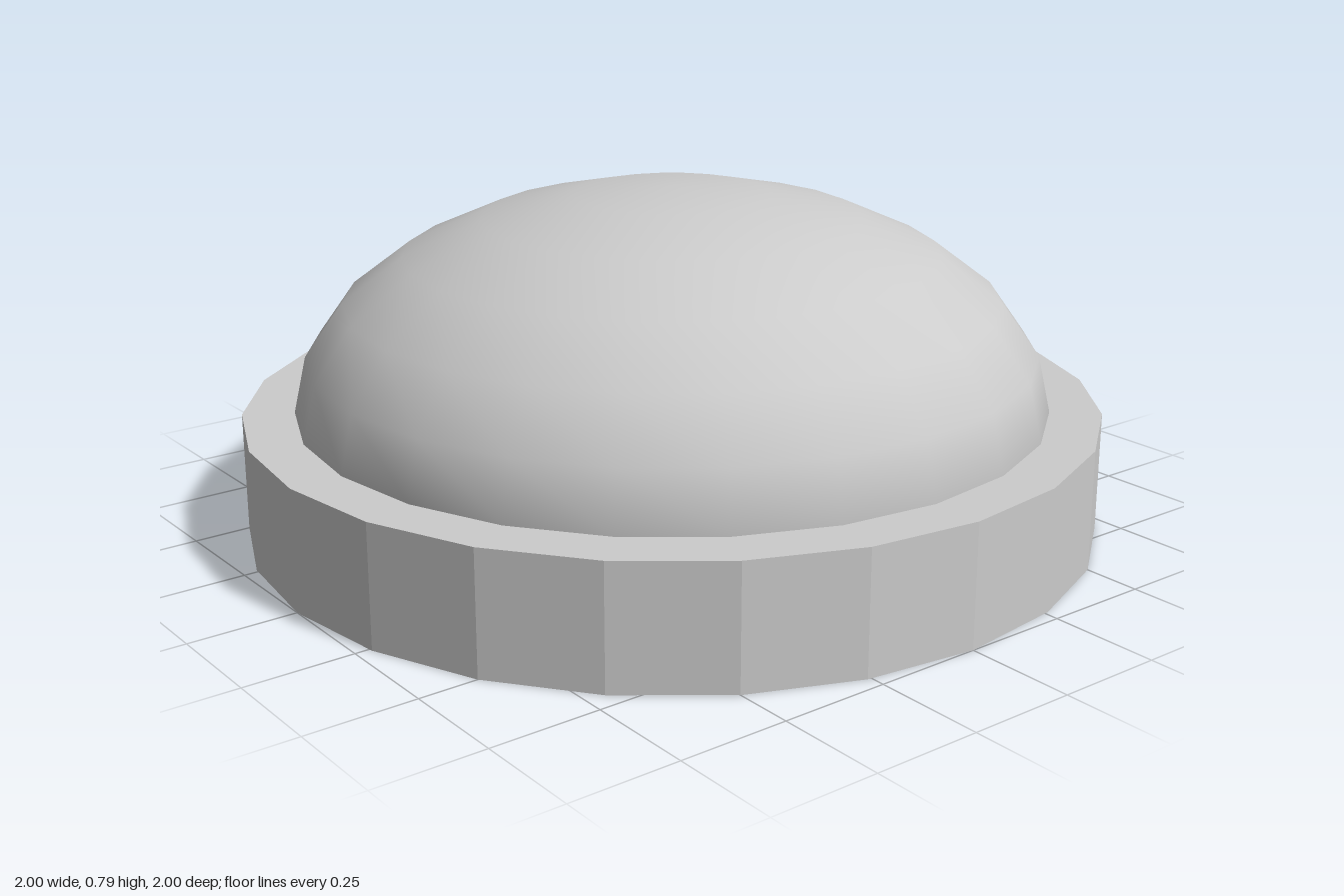
import * as THREE from 'three';

const SIDES = 24;
const RIM_HEIGHT = 0.28;
const DOME_RADIUS = 0.88;
const DOME_RISE = 0.51;

export function createModel() {
  const group = new THREE.Group();
  group.name = 'domeOnRing';

  // Hollow rim: bottom lip, outer wall and top lip, open on the inside
  const profile = [
    new THREE.Vector2(DOME_RADIUS, 0),
    new THREE.Vector2(1, 0),
    new THREE.Vector2(1, RIM_HEIGHT),
    new THREE.Vector2(DOME_RADIUS, RIM_HEIGHT),
  ];
  const rim = new THREE.Mesh(
    new THREE.LatheGeometry(profile, SIDES),
    new THREE.MeshStandardMaterial({ color: 0xcccccc, flatShading: true, side: THREE.DoubleSide })
  );
  rim.name = 'rim';
  group.add(rim);

  // Smooth flattened half sphere, open underneath
  const domeGeometry = new THREE.SphereGeometry(DOME_RADIUS, SIDES, 6, 0, Math.PI * 2, 0, Math.PI / 2);
  domeGeometry.scale(1, DOME_RISE / DOME_RADIUS, 1);
  const dome = new THREE.Mesh(
    domeGeometry,
    new THREE.MeshStandardMaterial({ color: 0xcccccc, side: THREE.DoubleSide })
  );
  dome.name = 'dome';
  dome.position.y = RIM_HEIGHT;
  group.add(dome);

  return group;
}
